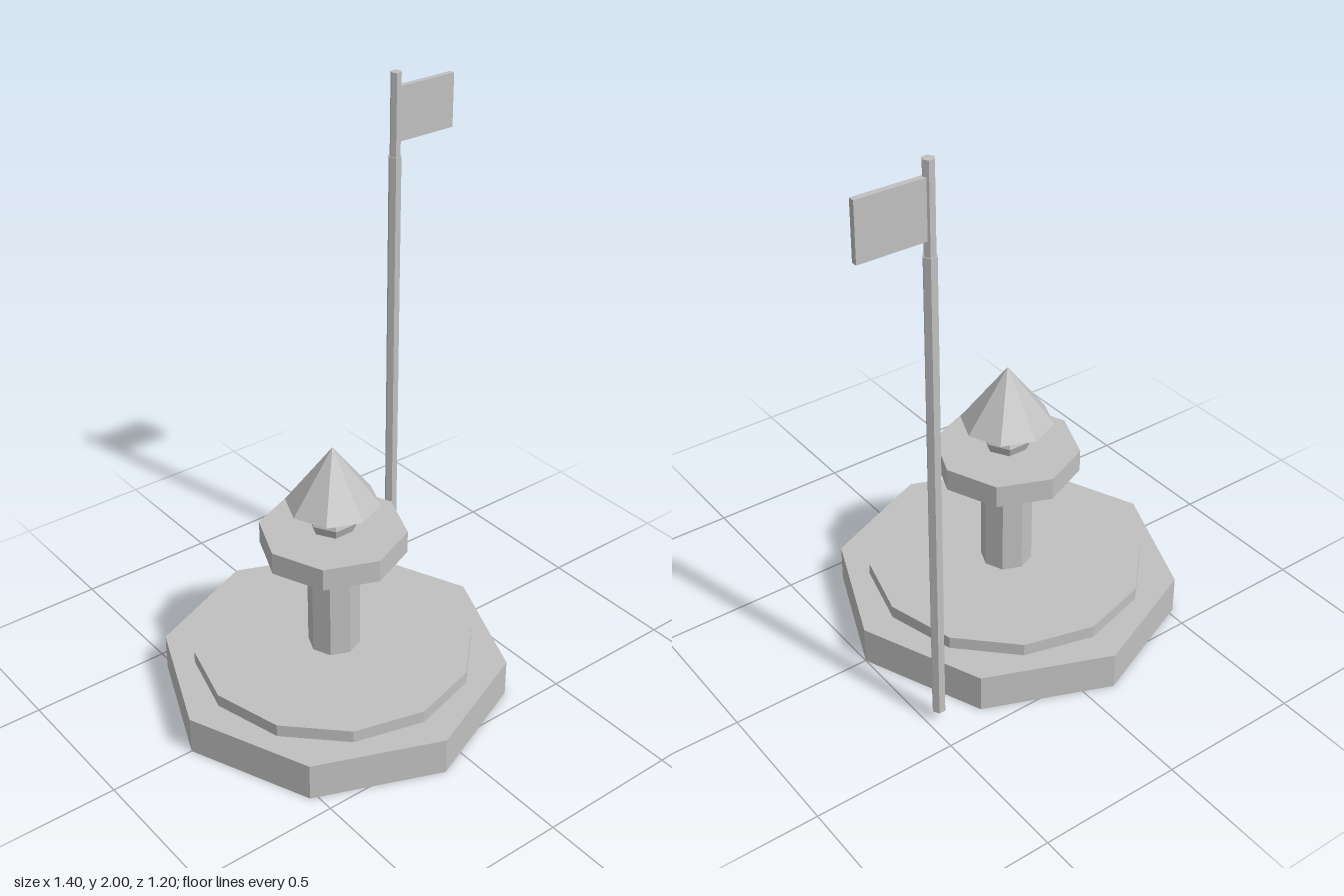
import * as THREE from 'three';

export function createModel() {
  const model = new THREE.Group();
  model.name = 'fountainWithFlag';
  const grey = new THREE.MeshStandardMaterial({ color: 0xc0c0c0, flatShading: true });
  grey.name = 'stoneGrey';

  const add = (parent, name, geometry, x, y, z) => {
    const mesh = new THREE.Mesh(geometry, grey);
    mesh.name = name;
    mesh.position.set(x, y, z);
    parent.add(mesh);
    return mesh;
  };
  // Faceted drum standing between two heights
  const drum = (parent, name, radius, y0, y1, sides, topRadius = radius) =>
    add(parent, name, new THREE.CylinderGeometry(topRadius, radius, y1 - y0, sides), 0, (y0 + y1) / 2, 0);

  // Fountain: stepped base, column, basin and pointed cap
  const fountain = new THREE.Group();
  fountain.name = 'fountain';
  fountain.position.x = -0.1;
  model.add(fountain);
  drum(fountain, 'base', 0.6, 0, 0.135, 8);
  drum(fountain, 'step', 0.485, 0.135, 0.18, 12);
  drum(fountain, 'column', 0.09, 0.18, 0.57, 8);
  drum(fountain, 'basin', 0.25, 0.57, 0.65, 8);
  add(fountain, 'bulb', new THREE.SphereGeometry(0.085, 6, 4), 0, 0.685, 0);
  drum(fountain, 'cap', 0.16, 0.75, 0.96, 8, 0);

  // Flagpole: two hexagonal sections with corners on the x axis
  const flagpole = new THREE.Group();
  flagpole.name = 'flagpole';
  flagpole.position.set(0.457, 0, -0.374);
  model.add(flagpole);
  drum(flagpole, 'lowerPole', 0.023, 0.04, 1.71, 6).rotation.y = Math.PI / 2;
  drum(flagpole, 'upperPole', 0.0195, 1.71, 2, 6).rotation.y = Math.PI / 2;
  add(flagpole, 'flag', new THREE.BoxGeometry(0.233, 0.19, 0.02), 0.1265, 1.855, 0);

  return model;
}
